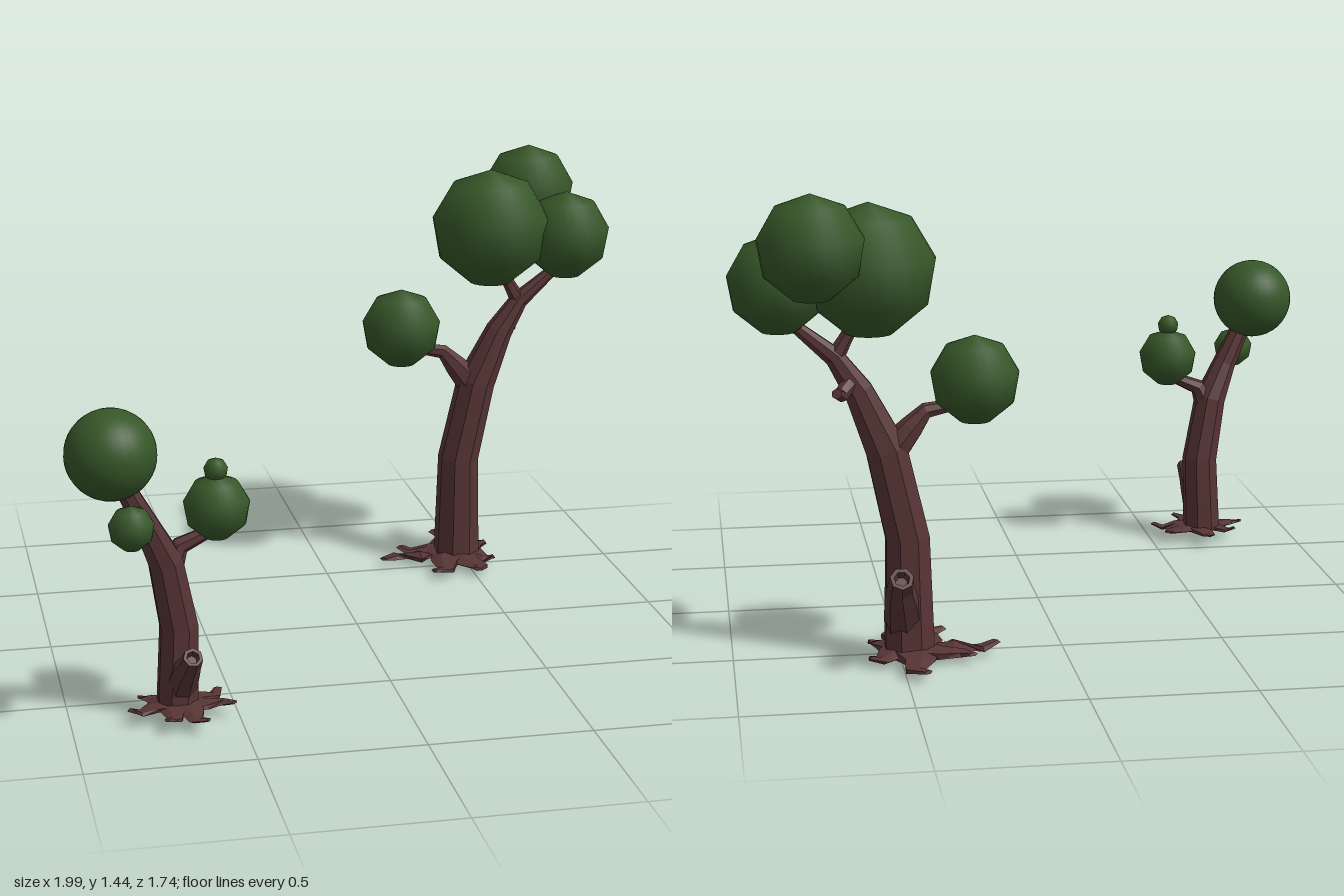
import * as THREE from 'three';

const bark = new THREE.MeshStandardMaterial({ color: 0x573434, flatShading: true });
const leaf = new THREE.MeshStandardMaterial({ color: 0x365628 });

// Faceted tapering limb through [x, y, z, radius] points; flat squashes it vertically
function limb(name, points, { sides = 7, flat = 1, hollow = false } = {}) {
  const p = points.map(a => new THREE.Vector3(a[0], a[1], a[2]));
  const n = p.length;
  const rings = p.map((c, i) => ({
    c, r: points[i][3],
    t: p[Math.min(i + 1, n - 1)].clone().sub(p[Math.max(i - 1, 0)]).normalize(),
  }));
  if (hollow) {
    const { c, r, t } = rings[n - 1];
    rings.push({ c, r: r * 0.65, t });
    rings.push({ c: c.clone().addScaledVector(t, -r * 0.8), r: r * 0.5, t });
  }
  const pos = [], idx = [];
  const ref = new THREE.Vector3(0, 0, 1), alt = new THREE.Vector3(1, 0, 0);
  for (const { c, r, t } of rings) {
    const side = Math.abs(p[n - 1].z - p[0].z) > Math.abs(p[n - 1].y - p[0].y) ? alt : ref;
    const u = side.clone().addScaledVector(t, -side.dot(t)).normalize();
    const v = t.clone().cross(u);
    for (let j = 0; j < sides; j++) {
      const a = ((j + 0.5) / sides) * Math.PI * 2;
      const o = u.clone().multiplyScalar(Math.cos(a) * r).addScaledVector(v, Math.sin(a) * r);
      pos.push(c.x + o.x, c.y + o.y * flat, c.z + o.z);
    }
  }
  const m = rings.length, first = m * sides, last = first + 1;
  pos.push(...rings[0].c.toArray(), ...rings[m - 1].c.toArray());
  for (let j = 0; j < sides; j++) {
    const k = (j + 1) % sides;
    for (let i = 0; i < m - 1; i++) {
      const a = i * sides + j, b = i * sides + k;
      idx.push(a, b, a + sides, b, b + sides, a + sides);
    }
    idx.push(first, k, j, last, (m - 1) * sides + j, (m - 1) * sides + k);
  }
  const g = new THREE.BufferGeometry();
  g.setAttribute('position', new THREE.Float32BufferAttribute(pos, 3));
  g.setIndex(idx);
  g.computeVertexNormals();
  const mesh = new THREE.Mesh(g, bark);
  mesh.name = name;
  return mesh;
}

// Leaf ball: either fully round or a coarse nine-sided profile turned about y
function foliage(x, y, z, r, round = false) {
  let g;
  if (round) g = new THREE.SphereGeometry(r, 28, 20);
  else {
    const profile = [new THREE.Vector2(0, -r * Math.cos(Math.PI / 9))];
    for (let i = 4; i >= 0; i--) {
      const a = (i / 9) * Math.PI * 2;
      profile.push(new THREE.Vector2(r * Math.sin(a), r * Math.cos(a)));
    }
    g = new THREE.LatheGeometry(profile, 28);
  }
  const mesh = new THREE.Mesh(g, leaf);
  mesh.position.set(x, y, z);
  mesh.name = 'foliage';
  return mesh;
}

// Flattened crooked roots spreading from the trunk foot to each [x, z] tip
function roots(cx, cy, cz, r, flat, tips) {
  const group = new THREE.Group();
  group.name = 'roots';
  tips.forEach(([x, z], i) => {
    const dx = x - cx, dz = z - cz, k = i % 2 ? 0.13 : -0.13;
    group.add(limb('root', [
      [cx, cy, cz, r],
      [cx + dx * 0.5, cy, cz + dz * 0.5, r * 0.6],
      [cx + dx * 0.8 - dz * k, cy - 0.004, cz + dz * 0.8 + dx * k, r * 0.38],
      [x, cy + 0.004, z, r * 0.2],
    ], { sides: 5, flat }));
  });
  return group;
}

export function createModel() {
  const model = new THREE.Group();

  // Large tree
  const large = new THREE.Group();
  large.name = 'largeTree';
  large.add(
    limb('trunk', [
      [0.473, 0.02, -0.55, 0.08], [0.476, 0.38, -0.55, 0.07], [0.535, 0.65, -0.548, 0.066],
      [0.615, 0.83, -0.545, 0.046], [0.685, 0.935, -0.545, 0.031], [0.81, 1.04, -0.545, 0.018],
    ], { sides: 8 }),
    limb('leftBranch', [
      [0.54, 0.62, -0.548, 0.055], [0.46, 0.715, -0.548, 0.038],
      [0.415, 0.765, -0.548, 0.025], [0.33, 0.78, -0.548, 0.018],
    ]),
    limb('topTwig', [
      [0.69, 0.92, -0.545, 0.03], [0.655, 0.98, -0.545, 0.022], [0.61, 1.06, -0.545, 0.016],
    ], { sides: 6 }),
    limb('sideTwig', [
      [0.63, 0.87, -0.55, 0.026], [0.67, 0.83, -0.6, 0.022], [0.685, 0.845, -0.645, 0.016],
    ], { sides: 6 }),
    limb('brokenStub', [
      [0.49, 0.12, -0.56, 0.06], [0.505, 0.22, -0.645, 0.05],
      [0.51, 0.265, -0.685, 0.04], [0.51, 0.305, -0.73, 0.036],
    ], { hollow: true }),
    roots(0.473, 0.03, -0.55, 0.085, 0.33, [
      [0.35, -0.365], [0.205, -0.52], [0.29, -0.64], [0.44, -0.785], [0.6, -0.63], [0.59, -0.47], [0.5, -0.35],
    ]),
    foliage(0.58, 1.19, -0.548, 0.2),
    foliage(0.757, 1.283, -0.715, 0.157),
    foliage(0.845, 1.155, -0.545, 0.15),
    foliage(0.27, 0.855, -0.547, 0.134),
  );

  // Small tree
  const small = new THREE.Group();
  small.name = 'smallTree';
  small.add(
    limb('trunk', [
      [-0.68, 0.04, 0.63, 0.064], [-0.672, 0.29, 0.64, 0.06], [-0.71, 0.5, 0.66, 0.054],
      [-0.765, 0.62, 0.685, 0.04], [-0.84, 0.77, 0.705, 0.03],
    ], { sides: 8 }),
    limb('rightBranch', [
      [-0.705, 0.46, 0.655, 0.045], [-0.665, 0.545, 0.655, 0.028], [-0.57, 0.585, 0.652, 0.018],
    ]),
    limb('frontTwig', [
      [-0.77, 0.6, 0.685, 0.028], [-0.795, 0.63, 0.74, 0.022], [-0.82, 0.655, 0.79, 0.016],
    ], { sides: 6 }),
    limb('brokenStub', [
      [-0.672, 0.09, 0.64, 0.05], [-0.662, 0.17, 0.705, 0.042],
      [-0.655, 0.2, 0.735, 0.034], [-0.65, 0.24, 0.775, 0.03],
    ], { hollow: true }),
    roots(-0.675, 0.045, 0.645, 0.065, 0.28, [
      [-0.83, 0.67], [-0.79, 0.58], [-0.66, 0.495], [-0.545, 0.555], [-0.515, 0.68], [-0.61, 0.795], [-0.73, 0.775],
    ]),
    foliage(-0.866, 0.847, 0.7, 0.134, true),
    foliage(-0.823, 0.655, 0.8, 0.067),
    foliage(-0.556, 0.655, 0.653, 0.099),
    foliage(-0.557, 0.768, 0.653, 0.036),
  );

  model.add(large, small);
  return model;
}
